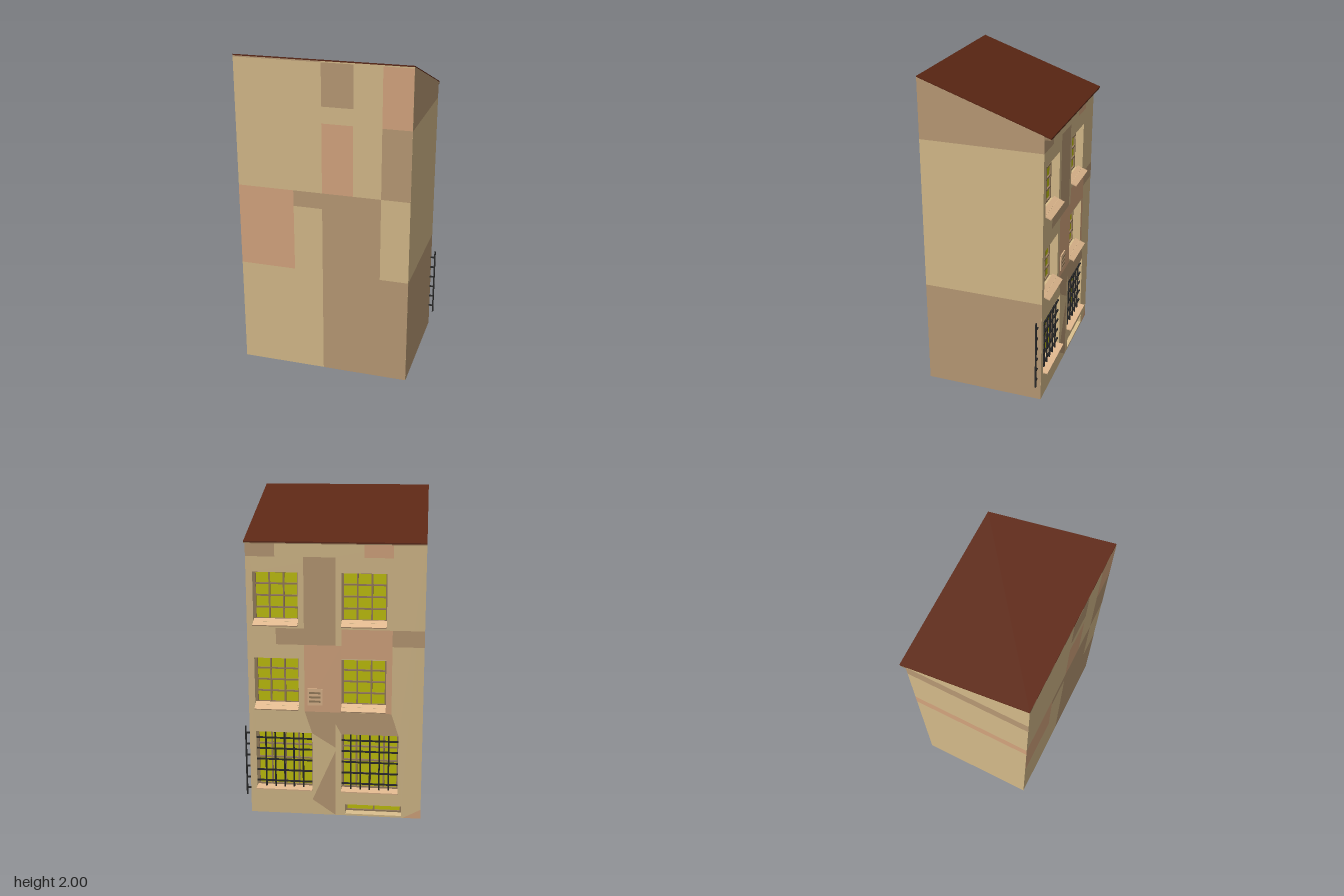
import * as THREE from 'three';

const TAN = 0xdcc18f, BROWN = 0xbf9f79, PINK = 0xdcab83, ROOF = 0x5e2815;
const GLASS = 0xc8c80c, IRON = 0x2b2b2b, TRIM = 0x9c8160, SILL = 0xe6bd92;
const L = -0.55, R = 0.515, FRONT = 0.395, BACK = -0.355, DEPTH = 0.07;

const mats = {};
const mat = (c) => (mats[c] ??= new THREE.MeshStandardMaterial({ color: c }));
const roofY = (z) => 1.8625 + 0.348 * z;
const rect = (a, b, c, d) => [[a, c], [b, c], [b, d], [a, d]];
const shapeOf = (pts) => new THREE.Shape(pts.map((p) => new THREE.Vector2(...p)));

function add(parent, name, geometry, color, x = 0, y = 0, z = 0) {
  const mesh = new THREE.Mesh(geometry, mat(color));
  mesh.name = name;
  mesh.position.set(x, y, z);
  parent.add(mesh);
  return mesh;
}
const box = (parent, name, w, h, d, color, x, y, z) =>
  add(parent, name, new THREE.BoxGeometry(w, h, d), color, x, y, z);

// flat plaster patch just proud of the wall (local z points outward)
const patch = (parent, name, pts, color) =>
  add(parent, name, new THREE.ShapeGeometry(shapeOf(pts)), color, 0, 0, 0.001);

// prism from a (-z, y) side profile, running the full width in x
function widthPrism(parent, name, pts, color) {
  const g = new THREE.ExtrudeGeometry(shapeOf(pts), { depth: R - L, bevelEnabled: false });
  g.rotateY(Math.PI / 2);
  return add(parent, name, g, color, L, 0, 0);
}

function wall(parent, name, rotY, x, z) {
  const g = new THREE.Group();
  g.name = name;
  g.rotation.y = rotY;
  g.position.set(x, 0, z);
  parent.add(g);
  return g;
}

// glass, frame and glazing bars set at the back of an opening
function windowUnit(parent, [x0, x1, y0, y1], cols, rows) {
  const g = new THREE.Group();
  g.name = 'window';
  const w = x1 - x0, h = y1 - y0, cx = (x0 + x1) / 2, cy = (y0 + y1) / 2, t = 0.01;
  box(g, 'glass', w, h, 0.008, GLASS, cx, cy, -DEPTH + 0.005);
  for (let i = 0; i <= cols; i++) {
    const x = x0 + t / 2 + ((w - t) * i) / cols;
    box(g, 'uprightGlazingBar', t, h, 0.014, TRIM, x, cy, -DEPTH + 0.012);
  }
  for (let j = 0; j <= rows; j++) {
    const y = y0 + t / 2 + ((h - t) * j) / rows;
    box(g, 'crossGlazingBar', w, t, 0.014, TRIM, cx, y, -DEPTH + 0.012);
  }
  parent.add(g);
}

// iron bars just inside the opening
function grille(parent, [x0, x1, y0, y1]) {
  const g = new THREE.Group();
  g.name = 'grille';
  const w = x1 - x0, h = y1 - y0, t = 0.009;
  for (let i = 1; i <= 5; i++)
    box(g, 'uprightBar', t, h, t, IRON, x0 + (w * i) / 6, (y0 + y1) / 2, -0.012);
  for (let j = 1; j <= 5; j++)
    box(g, 'crossBar', w, t, t, IRON, (x0 + x1) / 2, y0 + (h * (j - 0.4)) / 5.2, -0.012);
  parent.add(g);
}

function sill(parent, [x0, x1, y0], drop, reach) {
  const s = box(parent, 'sill', x1 - x0, 0.007, DEPTH / 2 + reach, SILL,
    (x0 + x1) / 2, y0 - drop / 2 + 0.003, (reach - DEPTH / 2) / 2);
  s.rotation.x = Math.atan2(drop, reach);
}

export function createModel() {
  const model = new THREE.Group();
  model.name = 'townHouse';

  // solid core behind the window wall, and the sloping roof
  const coreBack = BACK + DEPTH;
  widthPrism(model, 'core', [[-FRONT, 0], [-coreBack, 0],
    [-coreBack, roofY(coreBack) - 0.006], [-FRONT, roofY(FRONT) - 0.006]], TAN);
  const eave = -0.395;
  widthPrism(model, 'roof', [[-FRONT, roofY(FRONT) - 0.008], [-eave, roofY(eave) - 0.008],
    [-eave, roofY(eave)], [-FRONT, roofY(FRONT)]], ROOF);
  box(model, 'eaveBoard', R - L, 0.012, 0.038, TRIM, (L + R) / 2, roofY(eave) - 0.008, -0.374);

  // front wall patches
  const front = wall(model, 'frontWall', 0, 0, FRONT);
  [
    [-0.02, 0.17, 1.73, 1.985, BROWN], [0.34, R, 1.63, 1.985, PINK],
    [-0.02, 0.17, 1.2, 1.63, PINK], [0.34, R, 1.2, 1.63, BROWN],
    [L, -0.2, 0.68, 1.2, PINK], [-0.2, -0.02, 1.1, 1.2, BROWN],
    [-0.02, 0.34, 0, 1.2, BROWN], [0.34, R, 0, 0.68, BROWN], [L, -0.02, 1.985, 1.992, BROWN],
  ].forEach(([a, b, c, d, col]) => patch(front, 'frontPatch', rect(a, b, c, d), col));

  // side walls in horizontal bands
  const gable = (s, y) => [[s * FRONT, y], [s * BACK, y],
    [s * BACK, roofY(BACK) - 0.006], [s * FRONT, roofY(FRONT) - 0.006]];
  const ccw = (s, pts) => (s > 0 ? pts.slice().reverse() : pts);
  const left = wall(model, 'leftWall', Math.PI / 2, R, 0);
  patch(left, 'lowerBand', rect(-FRONT, -BACK, 0, 0.68), BROWN);
  patch(left, 'middleBand', rect(-FRONT, -BACK, 0.68, 1.63), TAN);
  patch(left, 'gableBand', ccw(-1, gable(-1, 1.63)), BROWN);
  const right = wall(model, 'rightWall', -Math.PI / 2, L, 0);
  patch(right, 'lowerBand', rect(BACK, FRONT, 0, 1.1), TAN);
  patch(right, 'pinkBand', rect(BACK, FRONT, 1.1, 1.2), PINK);
  patch(right, 'middleBand', rect(BACK, FRONT, 1.2, 1.63), TAN);
  patch(right, 'brownBand', rect(BACK, FRONT, 1.63, 1.735), BROWN);
  patch(right, 'gableBand', ccw(1, gable(1, 1.735)), TAN);

  // underside
  const base = box(model, 'baseSlab', R + 0.02, 0.002, FRONT - BACK, BROWN,
    (R - 0.02) / 2, 0.001, (FRONT + BACK) / 2);
  base.scale.set(0.998, 1, 0.998);

  // window wall: local x is mirrored (-x), local z points outward
  const back = wall(model, 'windowWall', Math.PI, 0, BACK);
  const columns = [-0.475, 0.055];
  const upper = [1.24, 0.715].flatMap((y) => columns.map((x) => [x, x + 0.27, y, y + 0.298]));
  const ground = columns.map((x) => [x, x + 0.35, 0.17, 0.54]);
  const cellar = [0.08, 0.43, 0.012, 0.075];

  const facade = shapeOf(rect(-R, -L, 0, roofY(BACK) - 0.006));
  for (const [a, b, c, d] of [...upper, ...ground, cellar])
    facade.holes.push(new THREE.Path(rect(a, b, c, d).map((p) => new THREE.Vector2(...p))));
  add(back, 'piercedWall',
    new THREE.ExtrudeGeometry(facade, { depth: DEPTH, bevelEnabled: false }), TAN, 0, 0, -DEPTH);

  upper.forEach((o) => { windowUnit(back, o, 3, 4); sill(back, o, 0.016, 0.038); });
  ground.forEach((o) => { windowUnit(back, o, 4, 4); grille(back, o); sill(back, o, 0.002, 0.03); });
  windowUnit(back, cellar, 2, 1);

  // plaster patches between the openings
  [
    [rect(-R, -0.34, 1.63, 1.73), BROWN], [rect(-0.17, 0.02, 1.2, 1.63), BROWN],
    [rect(0.19, 0.36, 1.63, 1.73), PINK], [rect(-0.34, -0.17, 1.1, 1.2), BROWN],
    [rect(-0.17, 0.02, 1.1, 1.2), BROWN], [rect(0.36, -L, 1.1, 1.2), BROWN],
    [rect(-0.17, 0.055, 0.68, 1.1), PINK], [rect(0.055, 0.36, 1.02, 1.2), PINK],
    [rect(0.325, 0.36, 0.68, 1.02), PINK],
    [[[0.055, 0.54], [0.405, 0.54], [0.36, 0.68], [-0.02, 0.68]], BROWN],
    [[[-0.125, 0.54], [0.02, 0.45], [0.02, 0.68], [-0.17, 0.68]], BROWN],
    [[[-0.125, 0.1], [0.02, 0], [0.02, 0.43]], BROWN],
    [[[0.44, 0], [0.55, 0], [0.55, 0.06]], PINK],
  ].forEach(([pts, col]) => patch(back, 'plasterPatch', pts, col));

  // louvred vent
  const vent = new THREE.Group();
  vent.name = 'vent';
  box(vent, 'ventPlate', 0.09, 0.105, 0.008, SILL, 0, 0, 0.004);
  for (let i = -1; i <= 1; i++)
    box(vent, 'ventSlat', 0.07, 0.012, 0.004, TRIM, 0, i * 0.027, 0.009);
  vent.position.set(-0.105, 0.775, 0);
  back.add(vent);

  // iron rail on brackets at the left wall
  const rail = new THREE.Group();
  rail.name = 'wallRail';
  box(rail, 'railBar', 0.009, 0.46, 0.009, IRON, 0.545, 0.335, -0.33);
  for (let i = 0; i < 6; i++)
    box(rail, 'railBracket', 0.035, 0.009, 0.009, IRON, 0.53, 0.152 + i * 0.0735, -0.33);
  model.add(rail);

  return model;
}
